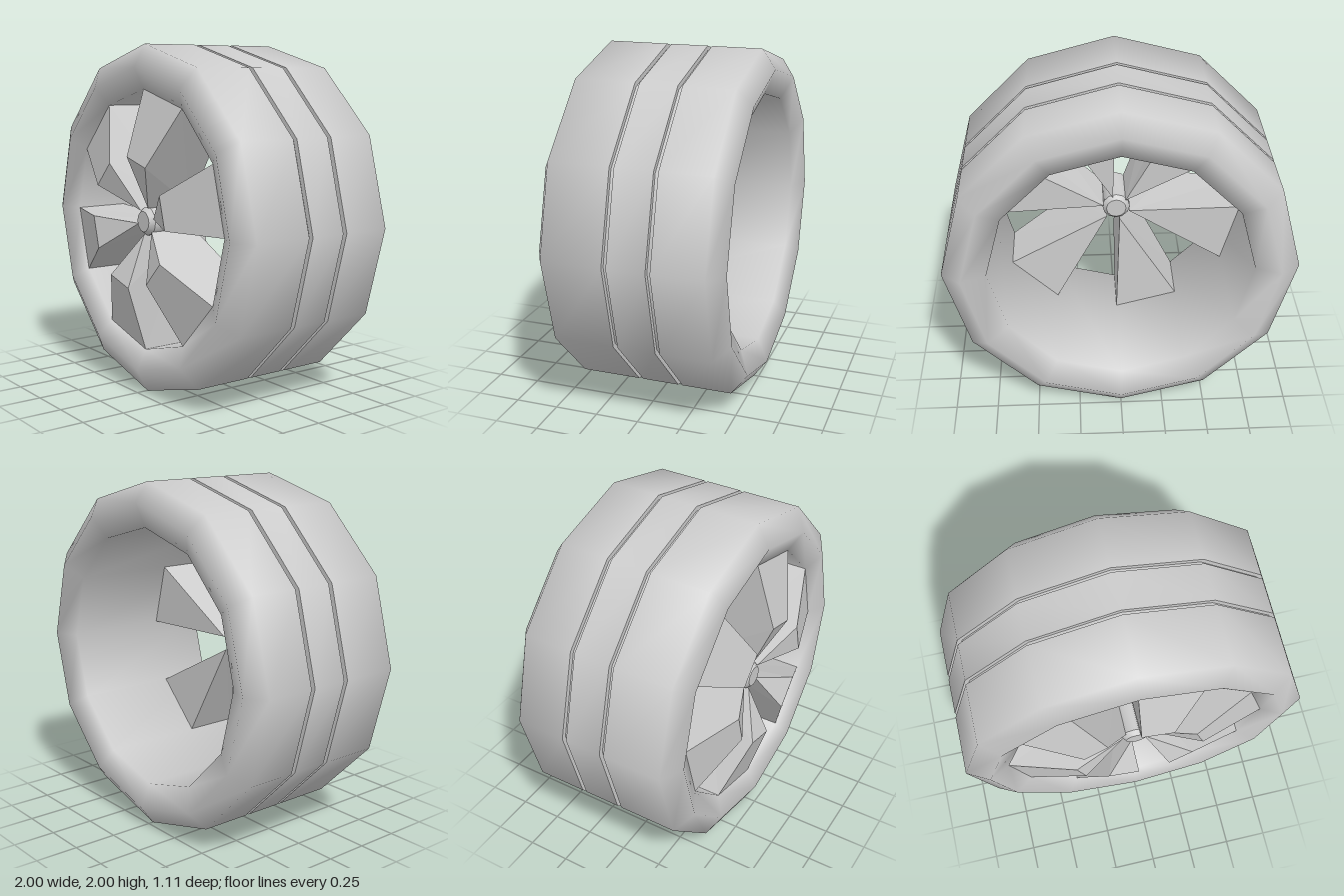
import * as THREE from 'three';
import { toCreasedNormals } from 'three/addons/utils/BufferGeometryUtils.js';

const SIDES = 12;
const material = new THREE.MeshStandardMaterial({ color: 0xcccccc });

// Turns a profile of [radius, z] points around the wheel's axle (z)
function turned(name, profile, crease) {
  const points = profile.map(([r, z]) => new THREE.Vector2(r, z));
  const lathe = new THREE.LatheGeometry(points, SIDES).rotateX(Math.PI / 2);
  const mesh = new THREE.Mesh(toCreasedNormals(lathe, crease), material);
  mesh.name = name;
  return mesh;
}

// One faceted, wedge-shaped spoke spanning a single side of the rim
function spokeGeometry() {
  const at = (r, degrees, z) => {
    const a = THREE.MathUtils.degToRad(degrees);
    return [r * Math.cos(a), r * Math.sin(a), z];
  };
  const corners = [
    at(0.75, 0, 0.44), at(0.75, 30, 0.44),     // 0, 1 outer front
    at(0.375, 0, 0.555), at(0.375, 30, 0.555), // 2, 3 raised ridge
    at(0.08, 15, 0.43), at(0.08, 15, 0.14),    // 4, 5 tip at the hub
    at(0.75, 0, 0.12), at(0.75, 30, 0.12),     // 6, 7 outer back
  ];
  const faces = [
    2, 0, 1, 2, 1, 3, // outer slope
    4, 2, 3,          // inner slope
    5, 6, 0, 5, 0, 2, 5, 2, 4, // one flank
    5, 4, 3, 5, 3, 1, 5, 1, 7, // other flank
    5, 7, 6,          // back
    0, 6, 7, 0, 7, 1, // end against the rim
  ];
  const indexed = new THREE.BufferGeometry();
  indexed.setAttribute('position', new THREE.Float32BufferAttribute(corners.flat(), 3));
  indexed.setIndex(faces);
  const geometry = indexed.toNonIndexed();
  geometry.computeVertexNormals();
  return geometry;
}

export function createModel() {
  const wheel = new THREE.Group();
  wheel.name = 'wheel';
  wheel.position.y = 1;

  // Tyre with two tread grooves, rounded shoulders and an open barrel
  wheel.add(turned('tyre', [
    [0.75, -0.49], [0.89, -0.55], [1, -0.47],
    [1, -0.18], [0.972, -0.18], [0.972, -0.155], [1, -0.155],
    [1, 0.06], [0.972, 0.06], [0.972, 0.085], [1, 0.085],
    [1, 0.43], [0.87, 0.5], [0.75, 0.44], [0.75, -0.49],
  ], THREE.MathUtils.degToRad(70)));

  // Hub with chamfered ends
  wheel.add(turned('hub', [
    [0, 0.14], [0.06, 0.14], [0.083, 0.165],
    [0.083, 0.42], [0.06, 0.45], [0, 0.45],
  ], THREE.MathUtils.degToRad(35)));

  // Six spokes on alternate sides of the rim
  const spoke = spokeGeometry();
  const spokes = new THREE.Group();
  spokes.name = 'spokes';
  for (let i = 0; i < 6; i++) {
    const mesh = new THREE.Mesh(spoke, material);
    mesh.name = 'spoke';
    mesh.rotation.z = (i * Math.PI) / 3;
    spokes.add(mesh);
  }
  wheel.add(spokes);

  const model = new THREE.Group();
  model.name = 'model';
  model.add(wheel);
  return model;
}
